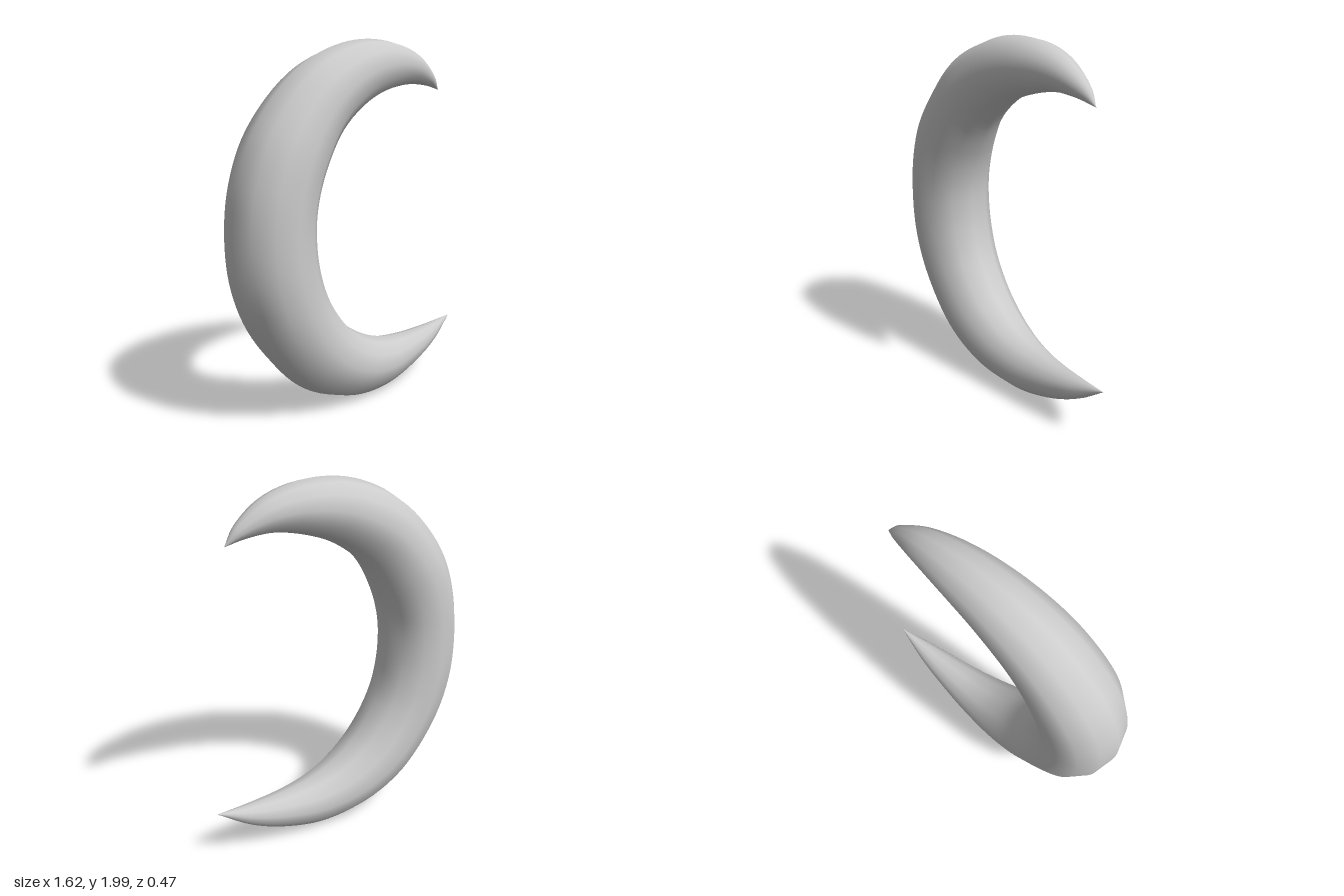
import * as THREE from 'three';

// Paired points on the outer and inner edge: [outerX, outerY, innerX, innerY]
const STATIONS = [
  [0.67, 1.73, 0.67, 1.73],
  [0.61, 1.82, 0.565, 1.753],
  [0.45, 1.935, 0.41, 1.76],
  [0.2, 1.997, 0.225, 1.725],
  [-0.1, 1.97, 0.03, 1.65],
  [-0.4, 1.832, -0.16, 1.505],
  [-0.665, 1.55, -0.285, 1.3],
  [-0.78, 1.28, -0.337, 1.14],
  [-0.815, 1.0, -0.35, 1.0],
  [-0.783, 0.715, -0.332, 0.83],
  [-0.665, 0.44, -0.27, 0.655],
  [-0.42, 0.165, -0.135, 0.475],
  [-0.13, 0.03, 0.03, 0.36],
  [0.17, 0.01, 0.2, 0.3],
  [0.43, 0.075, 0.38, 0.28],
  [0.63, 0.17, 0.58, 0.284],
  [0.81, 0.305, 0.81, 0.305],
];
const RINGS = 96;
const SIDES = 12;

function edgeCurve(offset) {
  return new THREE.CatmullRomCurve3(
    STATIONS.map((s) => new THREE.Vector3(s[offset], s[offset + 1], 0)));
}

// Round sections spanning the two edges, shrinking to a point at both tips
function crescentGeometry() {
  const outer = edgeCurve(0);
  const inner = edgeCurve(2);
  const positions = [];
  const index = [];
  for (let i = 0; i <= RINGS; i++) {
    const o = outer.getPoint(i / RINGS);
    const n = inner.getPoint(i / RINGS);
    const centre = o.clone().add(n).multiplyScalar(0.5);
    const arm = o.clone().sub(centre);
    const radius = arm.length();
    for (let j = 0; j < SIDES; j++) {
      const a = (j / SIDES) * Math.PI * 2;
      const p = centre.clone().addScaledVector(arm, Math.cos(a));
      positions.push(p.x, p.y, radius * Math.sin(a));
      if (i === RINGS) continue;
      const k = (j + 1) % SIDES;
      const r0 = i * SIDES;
      const r1 = r0 + SIDES;
      if (i < RINGS - 1) index.push(r0 + j, r1 + j, r1 + k);
      if (i > 0) index.push(r0 + j, r1 + k, r0 + k);
    }
  }
  const geometry = new THREE.BufferGeometry();
  geometry.setAttribute('position', new THREE.Float32BufferAttribute(positions, 3));
  geometry.setIndex(index);
  geometry.computeVertexNormals();
  return geometry;
}

export function createModel() {
  const group = new THREE.Group();
  group.name = 'crescentMoon';
  const crescent = new THREE.Mesh(
    crescentGeometry(), new THREE.MeshStandardMaterial({ color: 0xcccccc }));
  crescent.name = 'crescent';
  group.add(crescent);
  return group;
}
